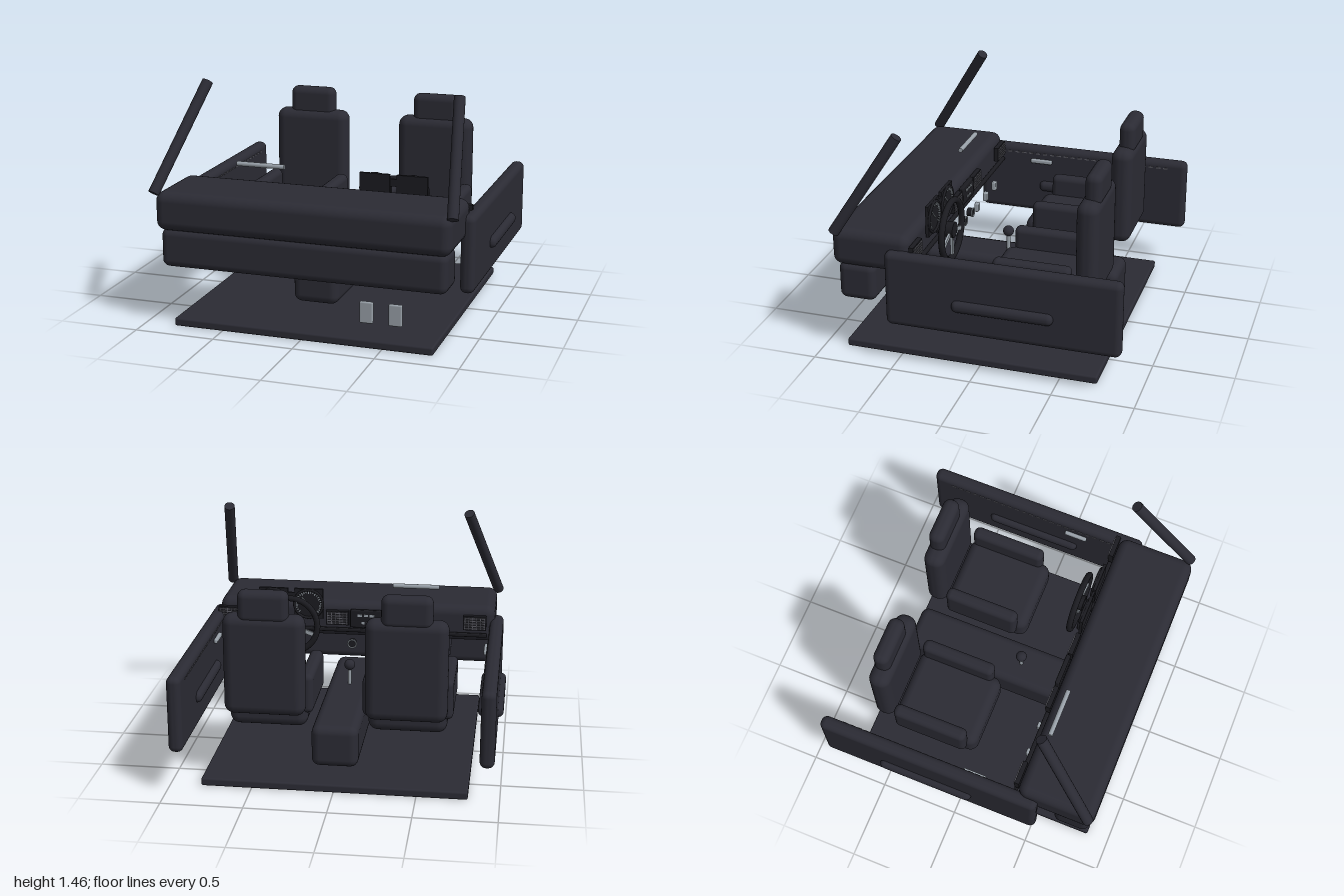
import * as THREE from 'three';
import { RoundedBoxGeometry } from 'three/addons/geometries/RoundedBoxGeometry.js';

export function createModel() {
  const model = new THREE.Group();
  model.name = 'carInterior';
  const mat = (name, color) => {
    const m = new THREE.MeshStandardMaterial({ color });
    m.name = name;
    return m;
  };
  const trim = mat('charcoal trim', 0x2b2b34);
  const black = mat('black plastic', 0x1b1b20);
  const silver = mat('satin silver', 0x98a0a8);
  const stitch = mat('grey thread', 0x5c5c64);

  const add = (name, geo, material, parent = model) => {
    const m = new THREE.Mesh(geo, material);
    m.name = name;
    parent.add(m);
    return m;
  };
  // Rounded box given by its extents along each axis
  const rbox = (name, [x0, x1], [y0, y1], [z0, z1], r, material = trim, parent = model) => {
    const m = add(name, new RoundedBoxGeometry(x1 - x0, y1 - y0, z1 - z0, 3, r), material, parent);
    m.position.set((x0 + x1) / 2, (y0 + y1) / 2, (z0 + z1) / 2);
    return m;
  };
  // Plain box given by centre and size
  const box = (name, pos, size, material, parent = model) => {
    const m = add(name, new THREE.BoxGeometry(...size), material, parent);
    m.position.set(...pos);
    return m;
  };
  // Round bar between two points
  const bar = (name, a, b, r, material, parent = model) => {
    const p = new THREE.Vector3(...a), q = new THREE.Vector3(...b);
    const m = add(name, new THREE.CylinderGeometry(r, r, p.distanceTo(q), 16), material, parent);
    m.position.copy(p).lerp(q, 0.5);
    m.quaternion.setFromUnitVectors(new THREE.Vector3(0, 1, 0), q.sub(p).normalize());
    return m;
  };

  rbox('floor', [-0.81, 0.81], [0, 0.05], [-0.73, 0.86], 0.012);

  // Dashboard and fascia
  rbox('upperDash', [-0.91, 0.91], [0.6, 0.84], [0.4, 0.895], 0.06);
  rbox('lowerDash', [-0.885, 0.885], [0.37, 0.61], [0.635, 0.867], 0.045);
  rbox('fasciaStrip', [-0.86, 0.86], [0.645, 0.67], [0.365, 0.39], 0.008, black);
  rbox('gloveBox', [-0.62, -0.2], [0.435, 0.6], [0.573, 0.61], 0.015);
  rbox('gloveBoxHandle', [-0.47, -0.35], [0.54, 0.56], [0.552, 0.574], 0.005, silver);
  bar('grabBar', [-0.54, 0.945, 0.47], [-0.235, 0.945, 0.47], 0.015, silver);

  // Air vents with slats
  for (const x of [-0.78, -0.26, 0.12, 0.84]) {
    const vent = new THREE.Group();
    vent.name = 'airVent';
    model.add(vent);
    box('ventFrame', [x, 0.74, 0.38], [0.15, 0.095, 0.03], black, vent);
    for (let i = 0; i < 5; i++) box('ventSlat', [x, 0.706 + i * 0.017, 0.362], [0.135, 0.005, 0.008], stitch, vent);
    for (let i = 0; i < 6; i++) box('ventFin', [x - 0.0625 + i * 0.025, 0.74, 0.363], [0.004, 0.08, 0.008], stitch, vent);
  }

  // Centre screen with simple readout bars
  rbox('screen', [-0.17, 0.035], [0.68, 0.8], [0.36, 0.39], 0.008, black);
  for (const [x, y, w] of [[-0.03, 0.765, 0.03], [-0.07, 0.765, 0.025], [-0.11, 0.765, 0.03], [-0.05, 0.715, 0.02], [-0.09, 0.715, 0.03]])
    box('readout', [x, y, 0.358], [w, 0.015, 0.005], silver);

  // Climate controls
  for (const x of [-0.585, -0.4, -0.22])
    rbox('switch', [x - 0.02, x + 0.02], [0.535, 0.595], [0.34, 0.37], 0.008, silver);
  for (const x of [0.02, -0.12]) {
    bar('knob', [x, 0.57, 0.35], [x, 0.57, 0.385], 0.028, black);
    add('knobRing', new THREE.TorusGeometry(0.028, 0.005, 6, 20), silver).position.set(x, 0.57, 0.35);
  }

  // Instrument cluster: two dials with tick marks
  for (const x of [0.31, 0.543]) {
    const dial = new THREE.Group();
    dial.name = 'gauge';
    dial.position.set(x, 0.83, 0.375);
    model.add(dial);
    box('gaugeHousing', [0, 0, 0.005], [0.19, 0.2, 0.02], black, dial);
    add('gaugeRim', new THREE.TorusGeometry(0.095, 0.009, 8, 32), black, dial).position.z = -0.01;
    for (let i = 0; i < 25; i++) {
      const a = -0.7 + (i / 24) * (Math.PI + 1.4);
      const tick = box('gaugeTick', [0.082 * Math.cos(a), 0.082 * Math.sin(a), -0.01],
        [i % 3 ? 0.014 : 0.024, 0.006, 0.008], silver, dial);
      tick.rotation.z = a;
    }
    const needle = box('needle', [0.02, 0.02, -0.012], [0.07, 0.006, 0.006], silver, dial);
    needle.rotation.z = Math.PI / 4;
  }
  box('gaugeBridge', [0.427, 0.88, 0.378], [0.05, 0.045, 0.015], black);

  // Steering wheel
  const wheel = new THREE.Group();
  wheel.name = 'steeringWheel';
  wheel.position.set(0.428, 0.7, 0.3);
  model.add(wheel);
  add('rim', new THREE.TorusGeometry(0.185, 0.02, 10, 40), black, wheel);
  bar('hub', [0, 0, -0.02], [0, 0, 0.03], 0.05, black, wheel);
  bar('column', [0, 0, 0.02], [0, 0, 0.14], 0.03, black, wheel);
  for (const deg of [-20, 200, 270]) {
    const a = THREE.MathUtils.degToRad(deg);
    const spoke = box('spoke', [0.11 * Math.cos(a), 0.11 * Math.sin(a), 0], [0.13, 0.026, 0.014], silver, wheel);
    spoke.rotation.z = a;
  }

  // Pedals
  for (const x of [0.342, 0.523])
    rbox('pedal', [x - 0.042, x + 0.042], [0.075, 0.21], [0.633, 0.657], 0.009, silver);

  // Centre console and gear lever
  rbox('centreConsole', [-0.142, 0.142], [0.14, 0.4], [-0.68, 0.6], 0.05);
  bar('gearShaft', [0, 0.38, 0.07], [0, 0.52, 0.07], 0.012, silver);
  add('gearKnob', new THREE.SphereGeometry(0.035, 20, 14), trim).position.set(0, 0.53, 0.07);

  for (const s of [-1, 1]) {
    const side = (a, b) => (s > 0 ? [a, b] : [-b, -a]);
    // Seat
    const seat = new THREE.Group();
    seat.name = s > 0 ? 'leftSeat' : 'rightSeat';
    model.add(seat);
    rbox('cushion', side(0.185, 0.665), [0.33, 0.54], [-0.54, 0.02], 0.06, trim, seat);
    rbox('innerBolster', side(0.15, 0.235), [0.42, 0.67], [-0.525, -0.04], 0.035, trim, seat);
    rbox('outerBolster', side(0.615, 0.7), [0.42, 0.67], [-0.525, -0.04], 0.035, trim, seat);
    rbox('backrest', side(0.178, 0.672), [0.45, 1.08], [-0.677, -0.54], 0.06, trim, seat);
    rbox('headrest', side(0.273, 0.578), [1.03, 1.23], [-0.67, -0.568], 0.045, trim, seat);

    // Door with armrest, handle and stitched seam
    const door = new THREE.Group();
    door.name = s > 0 ? 'leftDoor' : 'rightDoor';
    model.add(door);
    rbox('doorPanel', side(0.877, 0.965), [0.28, 0.757], [-0.9, 0.54], 0.038, trim, door);
    rbox('armrest', side(0.845, 1.0), [0.44, 0.513], [-0.5, 0.117], 0.034, trim, door);
    rbox('doorHandle', side(0.853, 0.878), [0.645, 0.675], [0.03, 0.18], 0.01, silver, door);
    for (let i = 0; i < 24; i++)
      box('stitch', [s * 0.877, 0.71, -0.76 + i * 0.0495], [0.008, 0.008, 0.03], stitch, door);
  }

  // Windscreen pillars
  bar('rightPillar', [-0.918, 0.825, 0.866], [-0.722, 1.445, 0.474], 0.034, trim);
  bar('leftPillar', [0.914, 0.825, 0.866], [0.844, 1.445, 0.474], 0.034, trim);

  return model;
}
